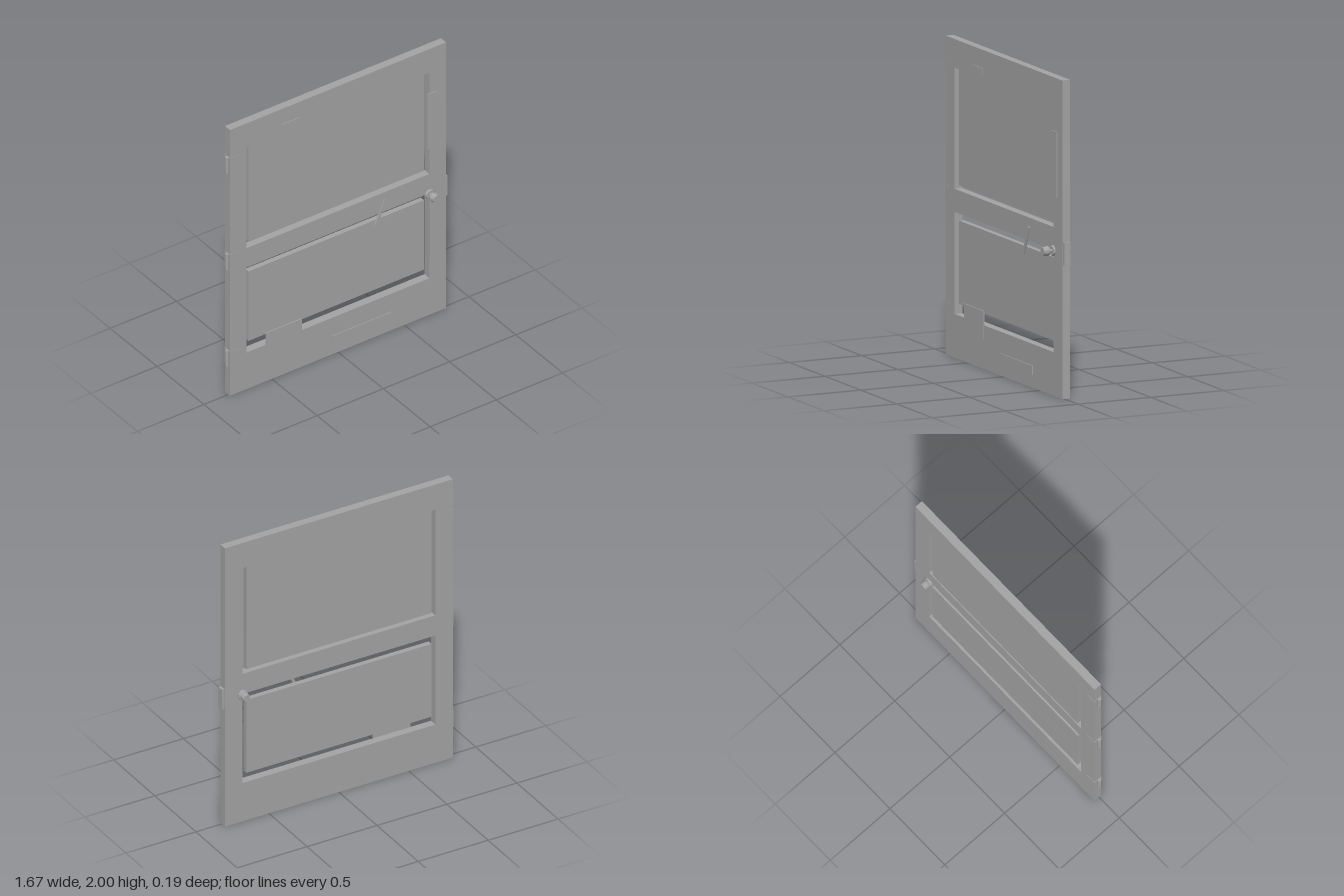
import * as THREE from 'three';

export function createModel() {
  const group = new THREE.Group();
  const grey = new THREE.MeshStandardMaterial({ color: 0xa3a3a3, flatShading: true });
  grey.name = 'grey';

  const BACK = -0.037, FRONT = 0.017;

  const add = (name, geometry) => {
    const mesh = new THREE.Mesh(geometry, grey);
    mesh.name = name;
    group.add(mesh);
    return mesh;
  };

  // Box given by its limits on each axis
  const block = (name, x0, x1, y0, y1, z0, z1) => {
    const mesh = add(name, new THREE.BoxGeometry(x1 - x0, y1 - y0, z1 - z0));
    mesh.position.set((x0 + x1) / 2, (y0 + y1) / 2, (z0 + z1) / 2);
    return mesh;
  };

  const rect = (path, x0, x1, y0, y1) => {
    path.moveTo(x0, y0);
    path.lineTo(x1, y0);
    path.lineTo(x1, y1);
    path.lineTo(x0, y1);
    path.closePath();
    return path;
  };

  // Door frame with two openings
  const outline = rect(new THREE.Shape(), -0.815, 0.815, 0, 2);
  for (const [y0, y1] of [[1.06, 1.82], [0.275, 0.915]]) {
    outline.holes.push(rect(new THREE.Path(), -0.69, 0.69, y0, y1));
  }
  const frame = new THREE.ExtrudeGeometry(outline, { depth: FRONT - BACK, bevelEnabled: false });
  frame.translate(0, 0, BACK);
  add('doorFrame', frame);

  // Recessed panels, flush with the back
  block('upperPanel', -0.662, 0.662, 1.085, 1.82, BACK, -0.002);
  block('lowerPanel', -0.662, 0.662, 0.34, 0.863, BACK, -0.002);

  // Thin repair plates on the front
  const plates = [
    ['topPlate', -0.428, -0.29, 1.85, 1.885],
    ['sidePlate', 0.672, 0.745, 1.25, 1.665],
    ['cornerPlate', -0.545, -0.275, 0.185, 0.365],
    ['bottomPlate', -0.042, 0.404, 0.08, 0.14],
  ];
  for (const [name, x0, x1, y0, y1] of plates) block(name, x0, x1, y0, y1, 0.016, 0.022);

  // Slanted bar across the middle rail
  const bar = block('slantedBar', 0.307, 0.327, 0.814, 1.01, 0.013, 0.023);
  bar.rotation.z = -0.42;

  // Hinges: a leaf wrapped round the edge and a knuckle
  for (const y of [0.277, 1.004, 1.732]) {
    block('hingeLeaf', -0.818, -0.75, y - 0.058, y + 0.058, BACK - 0.002, FRONT + 0.002);
    const knuckle = add('hingeKnuckle', new THREE.CylinderGeometry(0.012, 0.012, 0.116, 10));
    knuckle.position.set(-0.823, y, -0.003);
  }

  // Latch plate on the opening edge
  block('latchPlate', 0.81, 0.832, 0.84, 0.985, -0.03, 0.011);

  // Knobs: profiles of radius and distance from the door face
  const knob = (name, profile, z, dir) => {
    const geometry = new THREE.LatheGeometry(profile.map(([r, h]) => new THREE.Vector2(r, h)), 10);
    const mesh = add(name, geometry);
    mesh.position.set(0.69, 0.912, z);
    mesh.rotation.x = dir * Math.PI / 2;
  };
  knob('frontKnob', [
    [0, 0], [0.034, 0], [0.034, 0.006], [0.028, 0.012], [0.012, 0.012], [0.012, 0.032],
    [0.027, 0.032], [0.031, 0.04], [0.031, 0.05], [0.025, 0.076], [0, 0.076],
  ], FRONT, 1);
  knob('backKnob', [
    [0, 0], [0.034, 0], [0.034, 0.012], [0.022, 0.018], [0.027, 0.022],
    [0.027, 0.05], [0.024, 0.056], [0, 0.056],
  ], BACK, -1);

  return group;
}
